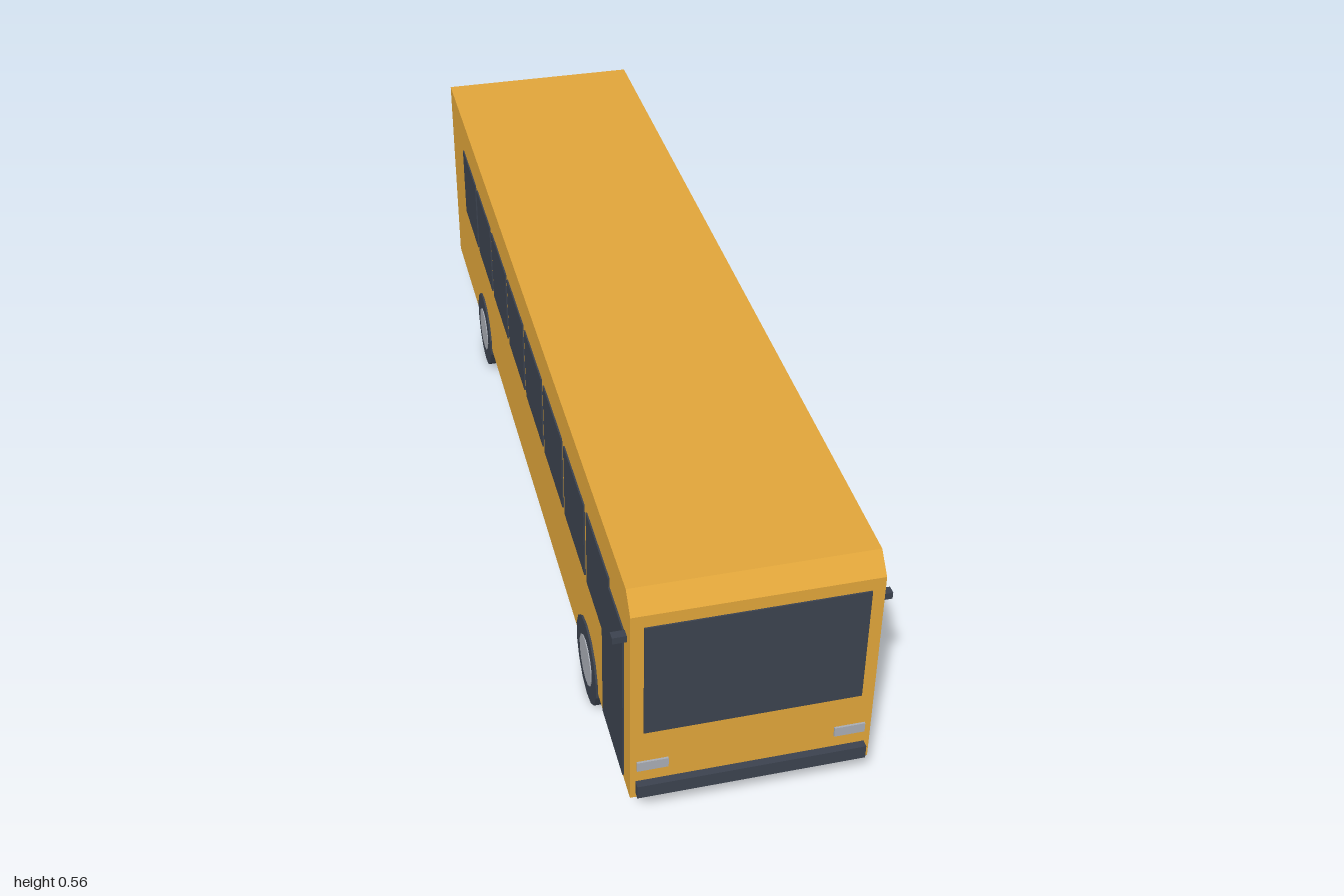
import * as THREE from 'three';

const mat = (name, color) => {
  const m = new THREE.MeshStandardMaterial({ color });
  m.name = name;
  return m;
};

export function createModel() {
  const bus = new THREE.Group();
  bus.name = 'bus';
  const paint = mat('yellowPaint', 0xe0a53a);
  const dark = mat('darkGlassAndRubber', 0x3b424e);
  const metal = mat('lightMetal', 0xa8acb4);
  paint.flatShading = dark.flatShading = metal.flatShading = true;

  const W = 0.225, Z = 0.985; // body half width and half length

  const add = (name, geometry, material) => {
    const mesh = new THREE.Mesh(geometry, material);
    mesh.name = name;
    bus.add(mesh);
    return mesh;
  };
  // box given by its limits on each axis
  const box = (name, material, x0, x1, y0, y1, z0, z1) =>
    add(name, new THREE.BoxGeometry(x1 - x0, y1 - y0, z1 - z0), material)
      .position.set((x0 + x1) / 2, (y0 + y1) / 2, (z0 + z1) / 2);
  // thin plate on a side wall
  const sidePlate = (name, side, y0, y1, z0, z1) => {
    const a = side * (W - 0.002), b = side * (W + 0.003);
    box(name, dark, Math.min(a, b), Math.max(a, b), y0, y1, z0, z1);
  };

  // body: side profile with a chamfered front roof edge, extruded across x
  const profile = new THREE.Shape([
    [-Z, 0.083], [Z, 0.083], [Z, 0.52], [0.952, 0.556], [-Z, 0.556],
  ].map(([z, y]) => new THREE.Vector2(-z, y)));
  const body = new THREE.ExtrudeGeometry(profile, { depth: 2 * W, bevelEnabled: false });
  body.translate(0, 0, -W).rotateY(Math.PI / 2);
  add('body', body, paint);

  // windscreen and bumpers
  box('windscreen', dark, -0.201, 0.201, 0.245, 0.494, Z - 0.002, Z + 0.003);
  box('frontBumper', dark, -0.215, 0.215, 0.095, 0.124, Z - 0.005, 1);
  box('rearBumper', dark, -0.215, 0.215, 0.095, 0.124, -1, -Z + 0.005);

  // door on the right side
  sidePlate('door', -1, 0.093, 0.453, 0.773, 0.938);

  for (const side of [-1, 1]) {
    // side windows
    for (let i = 0; i < 8; i++) {
      const z = -0.704 + i * 0.2057;
      sidePlate('sideWindow', side, 0.303, 0.473, z - 0.092, z + 0.092);
    }

    // lamps and mirror
    const lamp = (name, material, z0, z1) =>
      box(name, material, side * 0.184 - 0.029, side * 0.184 + 0.029, 0.152, 0.173, z0, z1);
    lamp('headlight', metal, Z - 0.002, Z + 0.004);
    lamp('rearLamp', paint, -Z - 0.003, -Z + 0.002);
    box('mirror', dark, side * 0.237 - 0.014, side * 0.237 + 0.014, 0.443, 0.457, 0.944, 0.96);

    // wheels
    for (const z of [0.63, -0.572]) {
      const wheel = (name, r, width, material) => {
        const g = new THREE.CylinderGeometry(r, r, width, 14, 1, false, Math.PI / 2);
        g.rotateZ(Math.PI / 2);
        add(name, g, material).position.set(side * 0.2005, 0.09, z);
      };
      wheel('tyre', 0.09, 0.057, dark);
      wheel('hub', 0.052, 0.061, metal);
    }
  }
  return bus;
}
